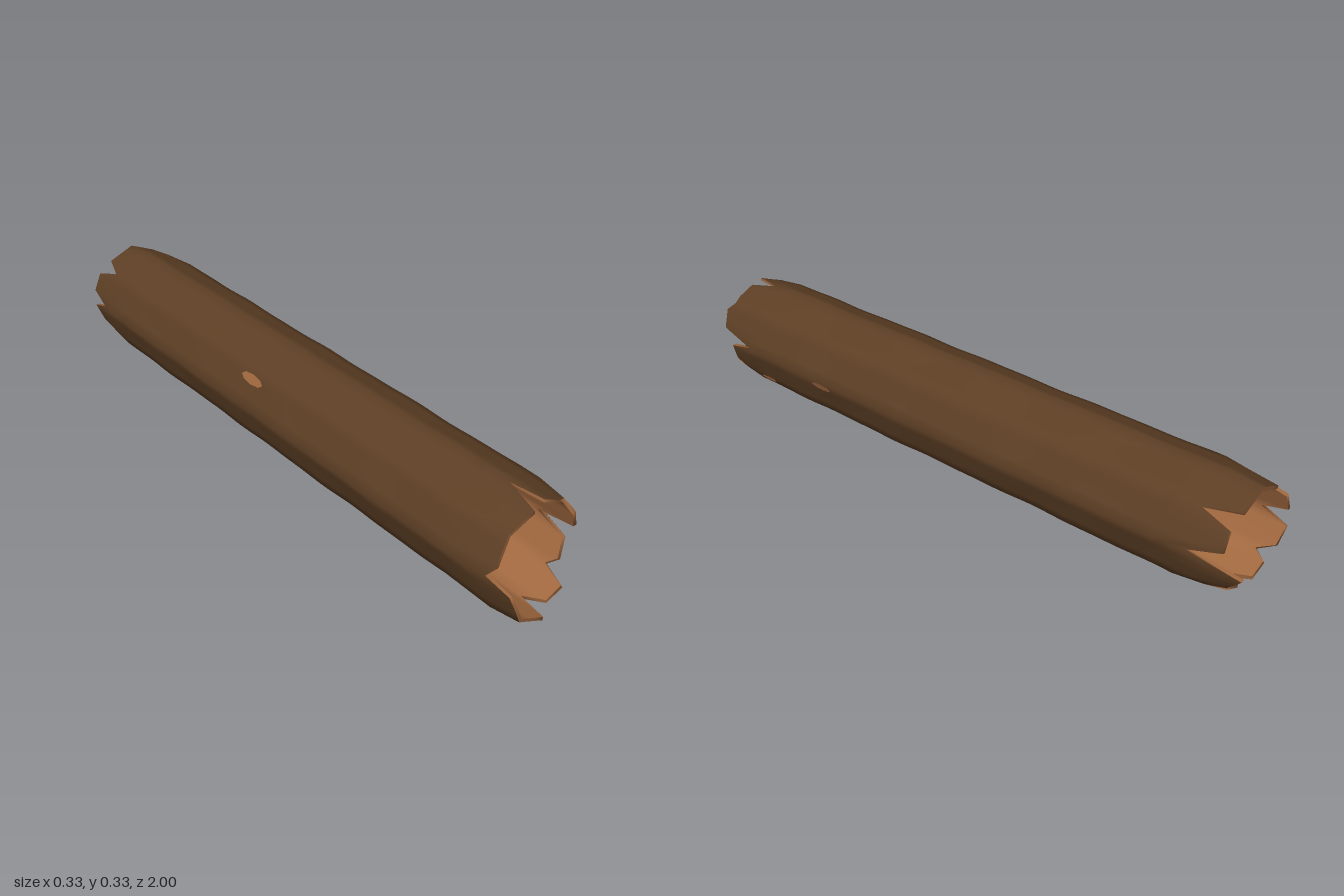
import * as THREE from 'three';

const SIDES = 8, PER_SIDE = 4, COLS = SIDES * PER_SIDE, MID_ROWS = 36;
const CENTRE_Y = 0.166;

// Broken ends, one entry per side going round from +x over the top:
// [depth at the corner split, plank end at 1/4, plank end at 3/4]
const FRONT = [
  [0.80, 0.93, 0.94], [0.91, 0.92, 0.92], [0.83, 0.94, 0.94], [0.94, 0.94, 0.94],
  [0.92, 0.99, 1.00], [1.00, 1.00, 1.00], [0.90, 0.96, 0.96], [0.88, 0.91, 0.90],
];
const BACK = [
  [0.84, 0.94, 0.94], [0.85, 0.95, 0.95], [0.95, 0.95, 0.95], [0.87, 0.96, 0.96],
  [0.88, 0.96, 0.95], [0.90, 0.94, 0.94], [0.86, 0.93, 0.93], [0.88, 0.95, 1.00],
];

function endAt(table, col) {
  const side = Math.floor(col / PER_SIDE) % SIDES;
  const [corner, a, b] = table[side];
  return [corner, a, (a + b) / 2, b][col % PER_SIDE];
}

// Point on an octagonal section; u counts sides, so whole numbers are corners
function octagon(u, radius, z) {
  const i = Math.floor(u), t = u - i;
  const a = (i * Math.PI) / 4, b = ((i + 1) * Math.PI) / 4;
  return new THREE.Vector3(
    radius * (Math.cos(a) * (1 - t) + Math.cos(b) * t),
    CENTRE_Y + radius * (Math.sin(a) * (1 - t) + Math.sin(b) * t), z);
}

// Gently lumpy bark surface
function barkPoint(u, z, scale = 1) {
  const a = (u * Math.PI) / 4;
  const lump = Math.sin(z * 17 + 3 * Math.sin(a)) * 0.5 + Math.sin(z * 31 + 2 * Math.cos(a) + 1) * 0.3
    + Math.sin(z * 7 + 4 * Math.cos(2 * a)) * 0.2;
  return octagon(u, (0.1645 + 0.0022 * lump) * scale, z);
}
const innerPoint = (u, z) => octagon(u, 0.143 + 0.002 * Math.sin(z * 9 + 2 * Math.cos((u * Math.PI) / 4)), z);

// Height along the log for each row: even in the middle, following the splits at the ends
function rowZ(col, row) {
  const front = endAt(FRONT, col), back = -endAt(BACK, col);
  if (row === 0) return back;
  if (row === 1) return Math.min(-0.77, back + 0.09);
  if (row === MID_ROWS + 2) return Math.max(0.77, front - 0.09);
  if (row === MID_ROWS + 3) return front;
  return -0.75 + (1.5 * (row - 2)) / (MID_ROWS - 1);
}
const ROWS = MID_ROWS + 4;

function outer(col, row) {
  const atEnd = row === 0 || row === ROWS - 1;
  return barkPoint(col / PER_SIDE, rowZ(col, row), atEnd ? 0.935 : 1);
}
const inner = (col, row) => innerPoint(col / PER_SIDE, rowZ(col, row));

// Closed band of quads around the log
function band(point, rows, flip = false) {
  const positions = [], index = [];
  for (let r = 0; r < rows; r++) {
    for (let c = 0; c < COLS; c++) positions.push(...point(c, r).toArray());
  }
  for (let r = 0; r < rows - 1; r++) {
    for (let c = 0; c < COLS; c++) {
      const n = (c + 1) % COLS;
      const a = r * COLS + c, b = r * COLS + n, d = a + COLS, e = b + COLS;
      if (flip) index.push(a, d, b, b, d, e);
      else index.push(a, b, d, b, e, d);
    }
  }
  const geometry = new THREE.BufferGeometry();
  geometry.setAttribute('position', new THREE.Float32BufferAttribute(positions, 3));
  geometry.setIndex(index);
  geometry.computeVertexNormals();
  return geometry;
}

// Thin worn patch lying on the bark
function patch(u, z, halfU, halfZ) {
  const at = (du, dz) => barkPoint(u + du, z + dz, 1.015);
  const points = [at(0, 0)], index = [], n = 8;
  for (let i = 0; i < n; i++) {
    const a = (i * 2 * Math.PI) / n;
    points.push(at(halfU * Math.cos(a), halfZ * Math.sin(a)));
    index.push(0, 1 + i, 1 + ((i + 1) % n));
  }
  const geometry = new THREE.BufferGeometry().setFromPoints(points);
  geometry.setIndex(index);
  geometry.computeVertexNormals();
  return geometry;
}

export function createModel() {
  const bark = new THREE.MeshStandardMaterial({ color: 0x5c3e24 });
  bark.name = 'dark bark';
  const wood = new THREE.MeshStandardMaterial({ color: 0xa0683f });
  wood.name = 'bare wood';

  const log = new THREE.Group();
  log.name = 'hollowLog';
  const add = (name, geometry, material) => {
    const mesh = new THREE.Mesh(geometry, material);
    mesh.name = name;
    log.add(mesh);
  };

  add('bark', band(outer, ROWS), bark);
  add('hollowInside', band(inner, ROWS, true), wood);

  // Splintered rims joining bark and hollow
  const last = ROWS - 1;
  add('frontRim', band((c, r) => (r === 0 ? outer(c, last) : inner(c, last)), 2), wood);
  add('backRim', band((c, r) => (r === 0 ? inner(c, 0) : outer(c, 0)), 2), wood);

  // Spots where the bark has worn away
  add('wornPatchRight', patch(7.87, 0.46, 0.1, 0.04), wood);
  add('wornPatchRightLow', patch(7.13, 0.75, 0.07, 0.035), wood);
  add('wornPatchLeft', patch(3.3, -0.06, 0.12, 0.05), wood);
  return log;
}
